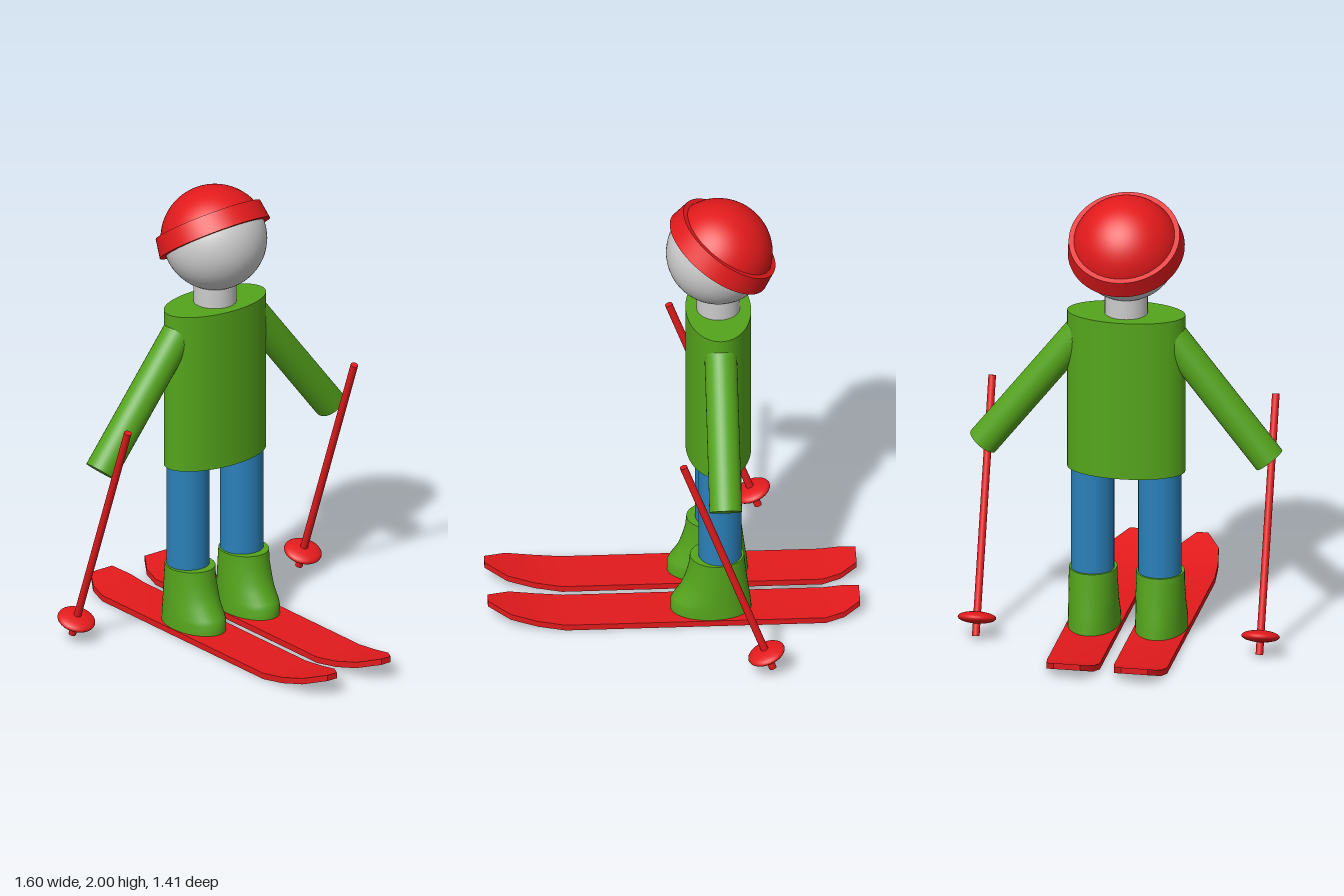
import * as THREE from 'three';
import { toCreasedNormals } from 'three/addons/utils/BufferGeometryUtils.js';

const mat = (color) => new THREE.MeshStandardMaterial({ color });

function addMesh(parent, name, geometry, material) {
  const mesh = new THREE.Mesh(geometry, material);
  mesh.name = name;
  parent.add(mesh);
  return mesh;
}

// Cylinder running from point a to point b
function rod(a, b, radius, segments = 32) {
  const dir = b.clone().sub(a);
  const g = new THREE.CylinderGeometry(radius, radius, dir.length(), segments);
  g.applyQuaternion(new THREE.Quaternion().setFromUnitVectors(
    new THREE.Vector3(0, 1, 0), dir.clone().normalize()));
  const mid = a.clone().add(b).multiplyScalar(0.5);
  return g.translate(mid.x, mid.y, mid.z);
}

// Closed skin over rings of points, each counter-clockwise about the loft axis
function loft(rings, crease = 0.6) {
  const n = rings[0].length;
  const last = (rings.length - 1) * n;
  const index = [];
  for (let i = 0; i < rings.length - 1; i++) {
    for (let j = 0; j < n; j++) {
      const k = (j + 1) % n;
      const a = i * n + j, b = i * n + k, c = b + n, d = a + n;
      index.push(a, b, c, a, c, d);
    }
  }
  for (let j = 1; j < n - 1; j++) {
    index.push(0, j + 1, j, last, last + j, last + j + 1);
  }
  const g = new THREE.BufferGeometry();
  g.setAttribute('position', new THREE.Float32BufferAttribute(rings.flat(2), 3));
  g.setIndex(index);
  return toCreasedNormals(g, crease);
}

// Stations along the ski: x, underside height, half width
function skiGeometry() {
  const stations = [
    [-0.8, 0.045, 0.058], [-0.73, 0.018, 0.102], [-0.65, 0, 0.116], [0.47, 0, 0.116],
    [0.59, 0.018, 0.107], [0.705, 0.045, 0.088], [0.8, 0.075, 0.025],
  ];
  const t = 0.027;
  return loft(stations.map(([x, y, w]) =>
    [[x, y + t, -w], [x, y + t, w], [x, y, w], [x, y, -w]]));
}

// Oval sections up the boot: y, heel x, toe x, half width
function bootGeometry() {
  const sections = [
    [0.025, -0.335, 0.014, 0.112], [0.07, -0.331, 0.014, 0.111], [0.09, -0.329, 0.004, 0.11],
    [0.135, -0.322, -0.028, 0.108], [0.18, -0.316, -0.046, 0.107],
    [0.24, -0.309, -0.064, 0.105], [0.297, -0.303, -0.07, 0.104],
  ];
  const n = 40;
  return loft(sections.map(([y, back, front, w]) =>
    Array.from({ length: n }, (_, j) => {
      const a = (j / n) * Math.PI * 2;
      return [(front + back) / 2 + Math.sin(a) * (front - back) / 2, y, Math.cos(a) * w];
    })));
}

export function createModel() {
  const red = mat(0xe31a1c), green = mat(0x55a51c), blue = mat(0x2a80b9), grey = mat(0xcccccc);
  const v = (x, y, z) => new THREE.Vector3(x, y, z);
  const model = new THREE.Group();
  model.name = 'skier';
  const bodyX = -0.2;

  // Oval torso
  const torso = new THREE.CylinderGeometry(1, 1, 0.716, 64).scale(0.141, 1, 0.257);
  addMesh(model, 'torso', torso, green).position.set(bodyX, 1.118, 0);

  // Neck and head
  addMesh(model, 'neck', rod(v(bodyX, 1.45, 0), v(bodyX, 1.6, 0), 0.093), grey);
  addMesh(model, 'head', new THREE.SphereGeometry(0.225, 48, 32), grey)
    .position.set(bodyX, 1.767, 0);

  // Hat tipped back: dome and flared band
  const hat = new THREE.Group();
  hat.name = 'hat';
  hat.position.set(bodyX, 1.766, 0);
  hat.rotation.z = THREE.MathUtils.degToRad(34.5);
  model.add(hat);
  addMesh(hat, 'hatDome',
    new THREE.SphereGeometry(0.234, 48, 20, 0, Math.PI * 2, 0, Math.PI * 0.45), red);
  const bandProfile = [[0.222, 0], [0.253, 0], [0.24, 0.085], [0.21, 0.085], [0.222, 0]]
    .map(([r, y]) => new THREE.Vector2(r, y));
  addMesh(hat, 'hatBand', toCreasedNormals(new THREE.LatheGeometry(bandProfile, 64), 0.6), red);

  const ski = skiGeometry();
  const boot = bootGeometry();
  for (const s of [1, -1]) {
    const side = new THREE.Group();
    side.name = s > 0 ? 'leftSide' : 'rightSide';
    model.add(side);

    // Leg, boot and ski
    const legZ = 0.147 * s;
    addMesh(side, 'leg', rod(v(bodyX, 0.27, legZ), v(bodyX, 0.78, legZ), 0.093), blue);
    addMesh(side, 'boot', boot, green).position.z = legZ;
    addMesh(side, 'ski', ski, red).position.z = legZ;

    // Arm
    addMesh(side, 'arm', rod(v(bodyX, 1.388, 0.192 * s), v(bodyX, 0.84, 0.626 * s), 0.07), green);

    // Slanted pole with a flattened basket
    const pole = new THREE.Group();
    pole.name = 'pole';
    pole.position.set(-0.403, 0.02, 0.62 * s);
    pole.rotation.z = -THREE.MathUtils.degToRad(20);
    side.add(pole);
    addMesh(pole, 'poleShaft', rod(v(0, 0, 0), v(0, 1.125, 0), 0.0165, 20), red);
    addMesh(pole, 'poleBasket', new THREE.SphereGeometry(0.083, 32, 16).scale(1, 0.32, 1), red)
      .position.y = 0.08;
  }
  return model;
}
